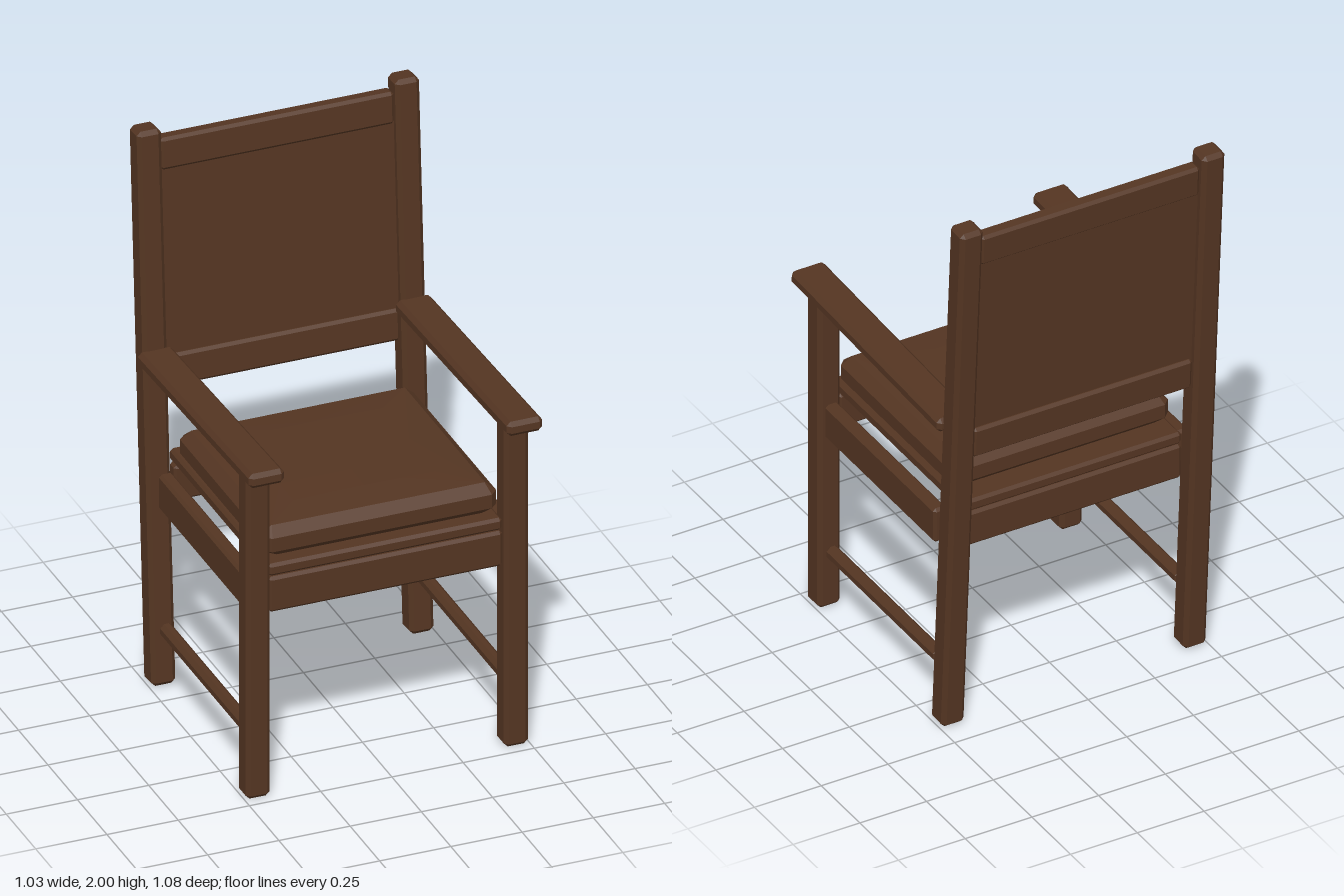
import * as THREE from 'three';
import { ConvexGeometry } from 'three/addons/geometries/ConvexGeometry.js';

// Box of size w, h, d whose edges are all cut at 45 degrees by c
function chamferBox(w, h, d, c) {
  const points = [];
  const [x, y, z] = [w / 2, h / 2, d / 2];
  for (const sx of [-1, 1]) for (const sy of [-1, 1]) for (const sz of [-1, 1]) {
    points.push(
      new THREE.Vector3(sx * x, sy * (y - c), sz * (z - c)),
      new THREE.Vector3(sx * (x - c), sy * y, sz * (z - c)),
      new THREE.Vector3(sx * (x - c), sy * (y - c), sz * z));
  }
  return new ConvexGeometry(points);
}

// Cushion: stacked rings with cut corners, closed by a shallow dome
function cushionGeometry() {
  const points = [];
  const halfX = 0.41, halfZ = 0.375;
  const rings = [[0, 0.025], [0.025, 0], [0.075, 0], [0.106, 0.035]]; // height, inset
  for (const [y, inset] of rings) {
    const x = halfX - inset, z = halfZ - inset, cut = inset > 0.03 ? 0.002 : 0.025;
    for (const sx of [-1, 1]) for (const sz of [-1, 1]) {
      points.push(
        new THREE.Vector3(sx * x, y, sz * (z - cut)),
        new THREE.Vector3(sx * (x - cut), y, sz * z));
    }
  }
  for (let i = -2; i <= 2; i++) for (let j = -2; j <= 2; j++) {
    const u = i / 3, v = j / 3;
    const y = 0.106 + 0.014 * (1 - (u * u + v * v) / 2);
    points.push(new THREE.Vector3(u * (halfX - 0.035), y, v * (halfZ - 0.035)));
  }
  return new ConvexGeometry(points);
}

export function createModel() {
  const chair = new THREE.Group();
  chair.name = 'armchair';
  const wood = new THREE.MeshStandardMaterial({ color: 0x543522 });
  wood.name = 'dark brown wood';

  const add = (parent, name, geometry, x, y, z) => {
    const mesh = new THREE.Mesh(geometry, wood);
    mesh.name = name;
    mesh.position.set(x, y, z);
    parent.add(mesh);
    return mesh;
  };

  // Raked back: posts, rails and panel share one tilt
  const back = new THREE.Group();
  back.name = 'back';
  back.position.set(0, 1, -0.4355);
  back.rotation.x = -0.0625;
  chair.add(back);
  add(back, 'topRail', chamferBox(0.82, 0.115, 0.052, 0.01), 0, 0.898, 0);
  add(back, 'lowerRail', chamferBox(0.82, 0.115, 0.052, 0.01), 0, 0.117, 0);
  add(back, 'backPanel', new THREE.BoxGeometry(0.82, 0.7, 0.026), 0, 0.507, 0);

  // Paired parts, side +1 is the chair's left
  for (const side of [1, -1]) {
    const label = side > 0 ? 'left' : 'right';
    const x = side * 0.453;
    add(back, label + 'BackPost', chamferBox(0.085, 1.998, 0.085, 0.014), x, 0, 0);
    add(chair, label + 'FrontLeg', chamferBox(0.085, 1.205, 0.085, 0.014), x, 0.6025, 0.4275);
    const arm = add(chair, label + 'Arm', chamferBox(0.125, 0.052, 0.965, 0.014), x, 1.205, 0.06);
    arm.rotation.x = -0.035;
    add(chair, label + 'Apron', chamferBox(0.05, 0.13, 0.715, 0.01), x, 0.735, 0.0275);
    add(chair, label + 'Stretcher', chamferBox(0.045, 0.048, 0.715, 0.014), x, 0.221, 0.0275);
  }

  // Seat
  add(chair, 'frontApron', chamferBox(0.82, 0.13, 0.05, 0.01), 0, 0.735, 0.4275);
  add(chair, 'backApron', chamferBox(0.82, 0.13, 0.05, 0.01), 0, 0.735, -0.375);
  add(chair, 'seatBoard', chamferBox(0.82, 0.045, 0.85, 0.01), 0, 0.825, 0.025);
  add(chair, 'cushion', cushionGeometry(), 0, 0.849, 0.043);

  return chair;
}
